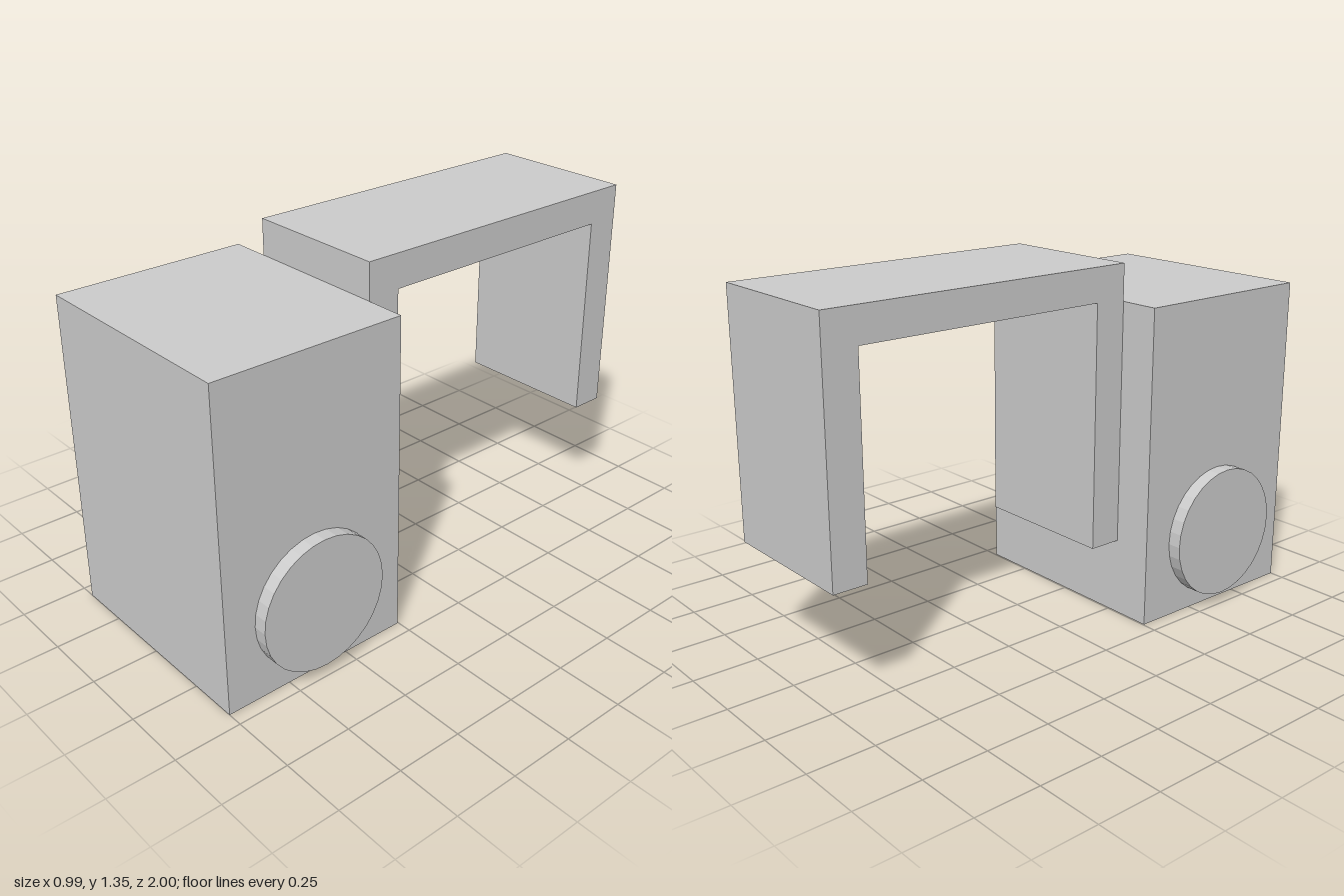
import * as THREE from 'three';

export function createModel() {
  const model = new THREE.Group();
  const material = new THREE.MeshStandardMaterial({ color: 0xcccccc, flatShading: true });

  const add = (name, geometry, x = 0, y = 0, z = 0) => {
    const mesh = new THREE.Mesh(geometry, material);
    mesh.name = name;
    mesh.position.set(x, y, z);
    model.add(mesh);
  };

  // Upright block, its back face meeting the bracket
  const backZ = 0.254, height = 1.215, halfWidth = 0.442;
  add('body', new THREE.BoxGeometry(halfWidth * 2, height, 1 - backZ), 0, height / 2, (1 + backZ) / 2);

  // Round disc on each side
  const thickness = 0.053;
  for (const side of [-1, 1]) {
    const disc = new THREE.CylinderGeometry(0.253, 0.253, thickness, 32).rotateZ(Math.PI / 2);
    add(side > 0 ? 'leftDisc' : 'rightDisc', disc, side * (halfWidth + thickness / 2), 0.296, 0.628);
  }

  // Hook-shaped bracket: side profile (z, y) extruded across the width
  const profile = [
    [backZ, 0.294], [backZ, 1.353], [-1, 1.353], [-1, 0.439],
    [-0.869, 0.439], [-0.869, 1.225], [0.126, 1.225], [0.126, 0.294],
  ].map(([z, y]) => new THREE.Vector2(z, y));
  const width = 0.576;
  const bracket = new THREE.ExtrudeGeometry(new THREE.Shape(profile), { depth: width, bevelEnabled: false });
  bracket.translate(0, 0, -width / 2).rotateY(-Math.PI / 2);
  add('hookBracket', bracket);

  return model;
}
